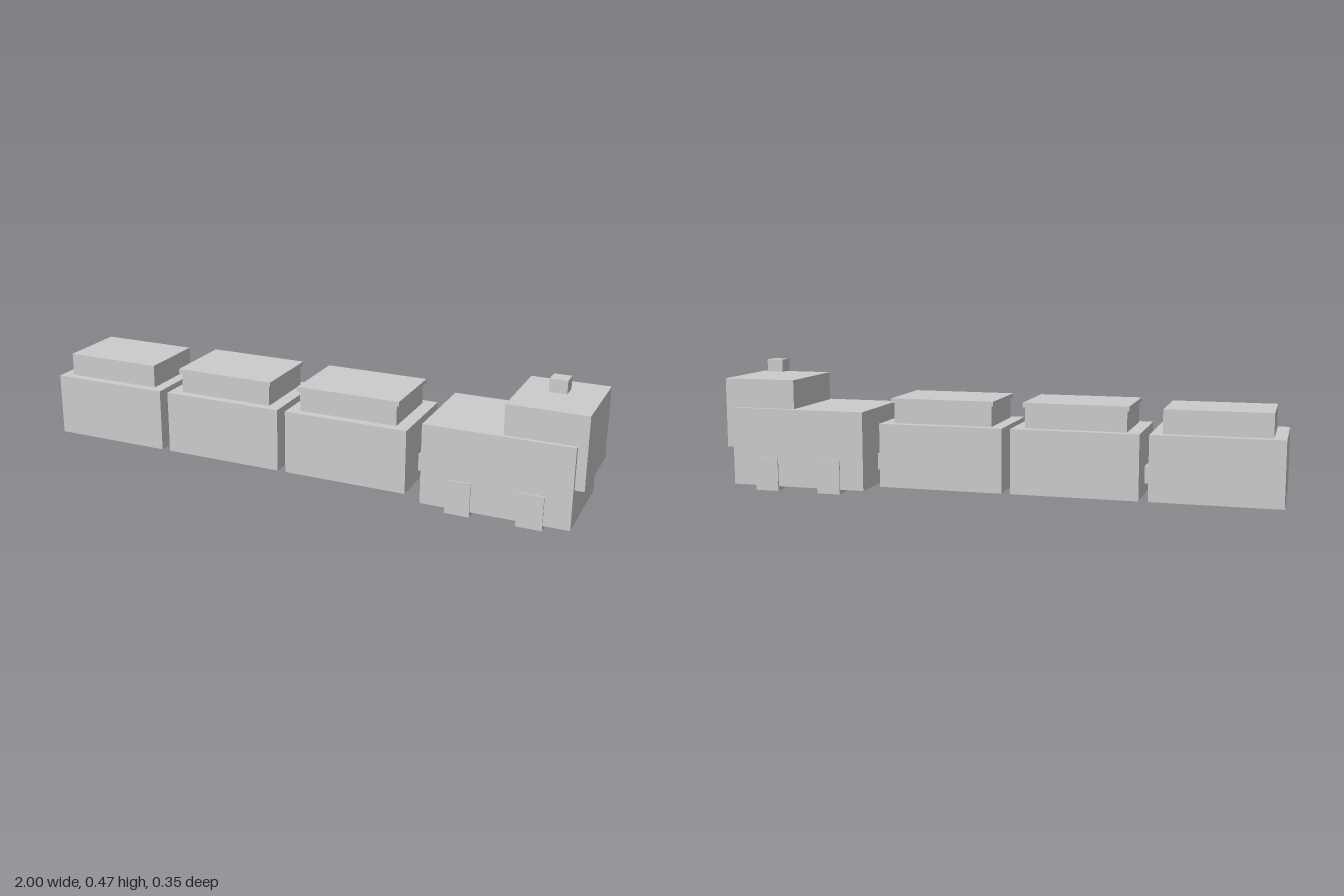
import * as THREE from 'three';

const material = new THREE.MeshStandardMaterial({ color: 0xcccccc, flatShading: true });

// Box given by its extents along each axis
function block(parent, name, [x0, x1], [y0, y1], [z0, z1]) {
  const mesh = new THREE.Mesh(new THREE.BoxGeometry(x1 - x0, y1 - y0, z1 - z0), material);
  mesh.position.set((x0 + x1) / 2, (y0 + y1) / 2, (z0 + z1) / 2);
  mesh.name = name;
  parent.add(mesh);
}

const both = (h) => [-h, h];

// Wagon with a raised load and, optionally, an overhanging lid
function makeWagon({ body, load, lid }) {
  const wagon = new THREE.Group();
  wagon.name = 'wagon';
  block(wagon, 'wagonBody', body, [0.033, 0.26], both(0.158));
  block(wagon, 'wagonLoad', load, [0.26, lid ? 0.333 : 0.343], both(0.127));
  if (lid) block(wagon, 'wagonLid', lid, [0.333, 0.349], both(0.134));
  return wagon;
}

// Engine with a raised head, a small floating cube and four feet
function makeEngine() {
  const engine = new THREE.Group();
  engine.name = 'engine';
  block(engine, 'engineBody', [0.46, 0.968], [0.017, 0.30], both(0.172));
  block(engine, 'engineHead', [0.73, 1.0], [0.152, 0.405], both(0.157));
  block(engine, 'topCube', [0.835, 0.895], [0.421, 0.466], both(0.029));
  for (const x of [[0.549, 0.635], [0.791, 0.879]]) {
    block(engine, 'leftFoot', x, [0, 0.12], [0.122, 0.177]);
    block(engine, 'rightFoot', x, [0, 0.12], [-0.177, -0.122]);
  }
  return engine;
}

export function createModel() {
  const train = new THREE.Group();
  train.name = 'train';

  // Wagons from the rear forwards
  const wagons = [
    { body: [-1.0, -0.556], load: [-0.958, -0.597] },
    { body: [-0.524, -0.078], load: [-0.477, -0.124], lid: [-0.485, -0.116] },
    { body: [-0.048, 0.401], load: [-0.003, 0.354], lid: [-0.011, 0.364] },
  ];
  for (const w of wagons) train.add(makeWagon(w));

  train.add(makeEngine());

  // Couplings bridging the gaps
  for (const x of [[-0.556, -0.524], [-0.078, -0.048], [0.401, 0.46]]) {
    block(train, 'coupling', x, [0.07, 0.13], both(0.029));
  }
  return train;
}
